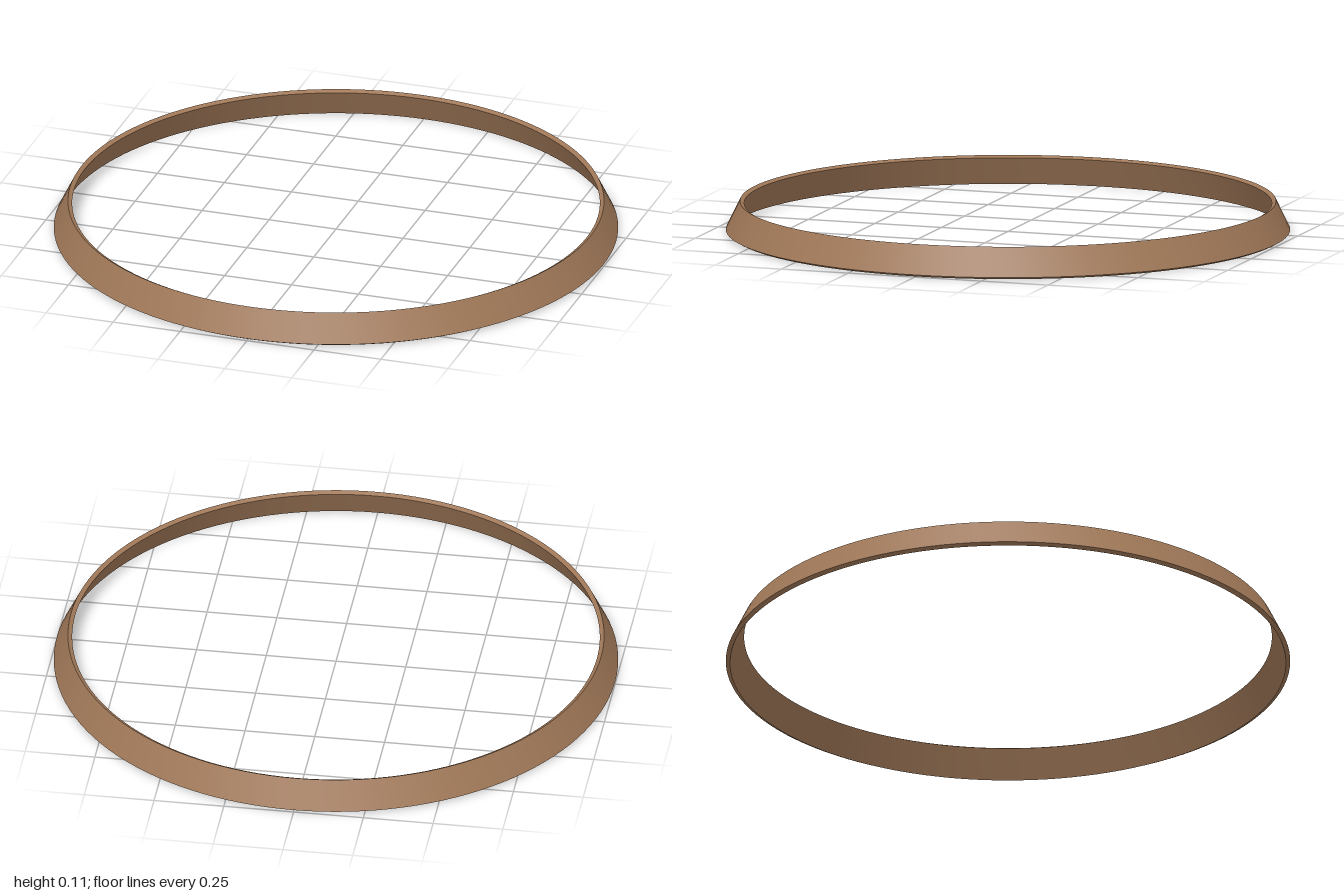
import * as THREE from 'three';
import { toCreasedNormals } from 'three/addons/utils/BufferGeometryUtils.js';

export function createModel() {
  const model = new THREE.Group();
  model.name = 'taperedRing';

  // Tilted flat strip in section: outer slope, top rim, inner slope, bottom rim
  const section = [
    [1, 0.008], [0.95, 0.11], [0.935, 0.102], [0.985, 0], [1, 0.008],
  ].map(([r, y]) => new THREE.Vector2(r, y));

  // Full turn around y, with crisp edges between the four bands
  const geometry = toCreasedNormals(new THREE.LatheGeometry(section, 128), Math.PI / 6);
  const ring = new THREE.Mesh(geometry, new THREE.MeshStandardMaterial({ color: 0xa07858 }));
  ring.name = 'ringBand';
  model.add(ring);

  return model;
}
